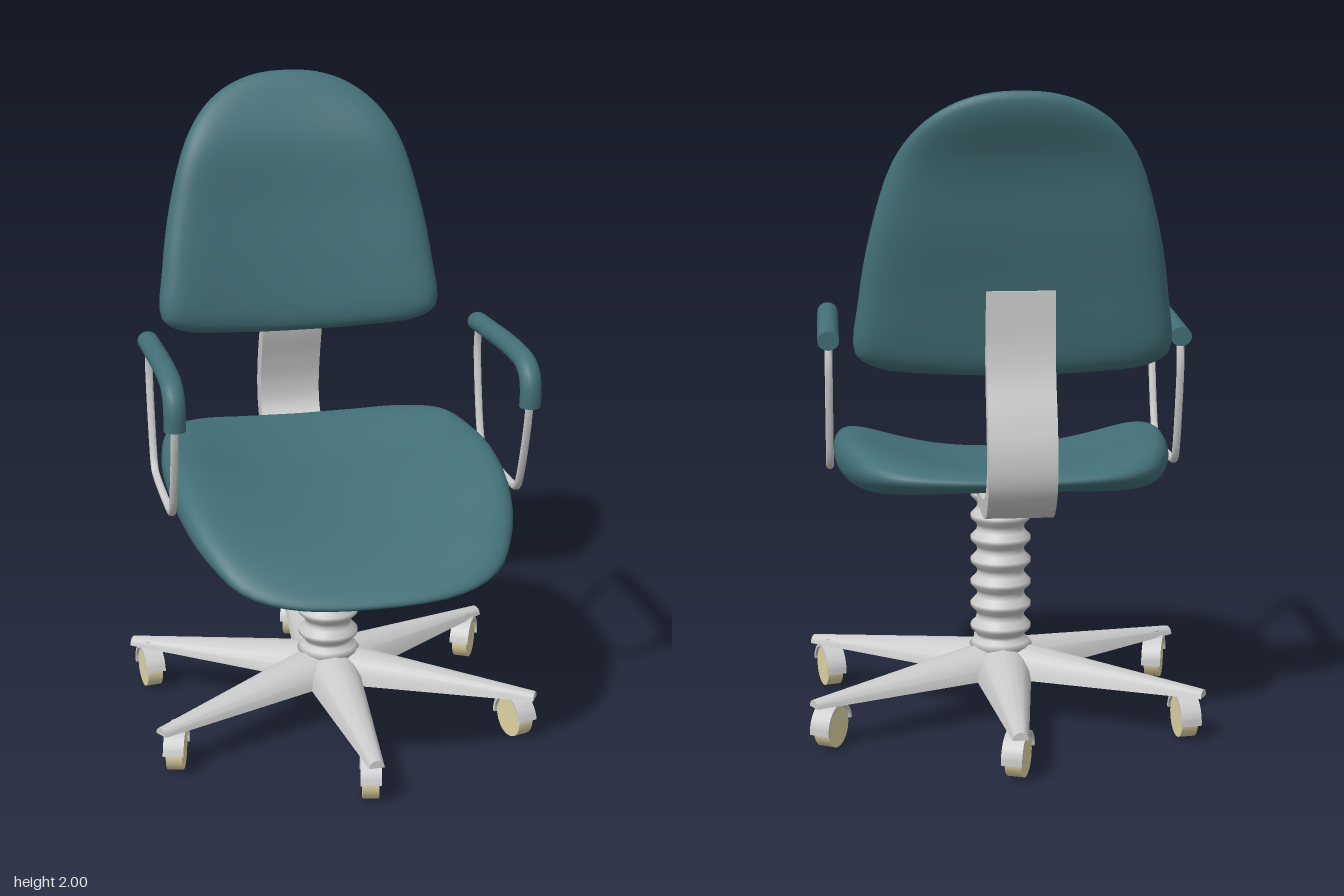
import * as THREE from 'three';
import { toCreasedNormals } from 'three/addons/utils/BufferGeometryUtils.js';

const grey = new THREE.MeshStandardMaterial({ color: 0xcccccc });
const greyThin = new THREE.MeshStandardMaterial({ color: 0xcccccc, side: THREE.DoubleSide });
const teal = new THREE.MeshStandardMaterial({ color: 0x437078 });
const cream = new THREE.MeshStandardMaterial({ color: 0xe2d6a6 });

function add(parent, name, geometry, material) {
  const mesh = new THREE.Mesh(geometry, material);
  mesh.name = name;
  parent.add(mesh);
  return mesh;
}

// Smooth curve through evenly spaced values between lo and hi
function profile(lo, hi, values) {
  const curve = new THREE.SplineCurve(values.map((v, i) => new THREE.Vector2(i, v)));
  return (s) => curve.getPoint(THREE.MathUtils.clamp((s - lo) / (hi - lo), 0, 1)).y;
}

// Pillow with a mirrored outline: half is a list of [a, b] from near to far,
// place(a, b, h) bends it, where h runs from 1 (top) to -1 (underside)
function cushion(half, centre, place) {
  const mirrored = half.slice(1, -1).reverse().map(([a, b]) => [-a, b]);
  const loop = new THREE.CatmullRomCurve3(
    [...half, ...mirrored].map(([a, b]) => new THREE.Vector3(a, b, 0)), true);
  const N = 80, K = 40;
  const rim = loop.getPoints(N).slice(0, N);
  const pos = [], index = [];
  for (let k = 0; k <= K; k++) {
    const t = (Math.PI * k) / K;
    const r = Math.sin(t);
    const h = Math.sign(Math.cos(t)) * Math.sqrt(Math.max(0, 1 - r ** 9));
    for (let i = 0; i < N; i++) {
      pos.push(...place(rim[i].x * r, centre + (rim[i].y - centre) * r, h));
      if (k === K) continue;
      const j = (i + 1) % N;
      const a = k * N + i, b = a + N, c = (k + 1) * N + j, d = k * N + j;
      index.push(a, b, c, a, c, d);
    }
  }
  const g = new THREE.BufferGeometry();
  g.setAttribute('position', new THREE.Float32BufferAttribute(pos, 3));
  g.setIndex(index);
  g.computeVertexNormals();
  return g;
}

// Capped oval bar swept along [z, y] points in the plane x = 0
function sweep(points, rx, ry, steps) {
  const path = new THREE.CatmullRomCurve3(
    points.map(([z, y]) => new THREE.Vector3(0, y, z)), false, 'centripetal');
  const section = new THREE.Shape().absellipse(0, 0, rx, ry, 0, Math.PI * 2);
  const g = new THREE.ExtrudeGeometry(section, { steps, extrudePath: path, curveSegments: 8 });
  return toCreasedNormals(g, 0.9);
}

function createSeat() {
  const mid = profile(-0.5, 0.7, [0.855, 0.825, 0.805, 0.795, 0.772, 0.73, 0.658]);
  const lift = profile(-0.5, 0.7, [0.02, 0.05, 0.055, 0.055, 0.05, 0.03, 0.01]);
  const swell = profile(-0.5, 0.7, [0.03, 0.065, 0.065, 0.065, 0.055, 0.035, 0.01]);
  // Outline as [x, -z]
  const half = [[0, -0.69], [0.25, -0.665], [0.395, -0.59], [0.47, -0.46], [0.51, -0.3], [0.525, -0.05],
    [0.51, 0.15], [0.475, 0.3], [0.42, 0.4], [0.33, 0.465], [0.18, 0.49], [0, 0.495]];
  return cushion(half, -0.1, (x, b, h) => {
    const u = (x / 0.5) ** 2;
    return [x, mid(-b) + lift(-b) * u + (0.035 + swell(-b) * u) * h, -b];
  });
}

function createBackrest() {
  const mid = profile(1.18, 2, [-0.448, -0.48, -0.522, -0.562, -0.65]);
  const half = [[0, 1.172], [0.22, 1.178], [0.4, 1.198], [0.46, 1.24], [0.45, 1.4], [0.415, 1.6],
    [0.352, 1.8], [0.28, 1.9], [0.195, 1.96], [0.1, 1.992], [0, 2]];
  return cushion(half, 1.5, (x, y, h) => {
    const u = (x / 0.45) ** 2;
    return [x, y, mid(y) + 0.02 * u + (0.042 + 0.034 * u) * h];
  });
}

// Flat bent bar from under the seat to the backrest
function createSpine() {
  const path = new THREE.SplineCurve([[-0.16, 0.755], [-0.3, 0.757], [-0.42, 0.768], [-0.52, 0.8],
    [-0.58, 0.87], [-0.59, 0.96], [-0.568, 1.06], [-0.532, 1.17], [-0.52, 1.28], [-0.525, 1.43]]
    .map(([z, y]) => new THREE.Vector2(z, y)));
  const front = [], rear = [];
  for (let i = 0; i <= 40; i++) {
    const t = i / 40, p = path.getPoint(t), d = path.getTangent(t);
    const w = 0.015 + 0.02 * Math.sin(Math.PI * t);
    front.push(new THREE.Vector2(p.x + d.y * w, p.y - d.x * w));
    rear.unshift(new THREE.Vector2(p.x - d.y * w, p.y + d.x * w));
  }
  const g = new THREE.ExtrudeGeometry(new THREE.Shape([...front, ...rear]), { depth: 0.2, bevelEnabled: false });
  g.rotateY(-Math.PI / 2); // profile x becomes z, depth runs towards -x
  g.translate(0.087, 0, 0);
  return toCreasedNormals(g, 0.6);
}

// Gas column with bellows and a flared foot
function createColumn() {
  const pts = [[0, 0.145], [0.06, 0.145], [0.1, 0.225], [0.09, 0.24]];
  for (let i = 0; i < 7; i++) {
    const y = 0.25 + i * 0.072;
    pts.push([0.074, y], [0.078, y + 0.012], [0.096, y + 0.03], [0.096, y + 0.042], [0.078, y + 0.06]);
  }
  pts.push([0.074, 0.775], [0, 0.775]);
  return new THREE.LatheGeometry(pts.map(([r, y]) => new THREE.Vector2(r, y)), 32);
}

// Tapered leg with a rounded top and flat underside, running along +z
function createLeg() {
  const g = new THREE.CylinderGeometry(0.024, 0.1, 0.69, 16);
  g.rotateX(Math.PI / 2);
  const p = g.attributes.position;
  for (let i = 0; i < p.count; i++) p.setY(i, Math.max(0, p.getY(i)));
  g.translate(0, 0.14, 0.345);
  return toCreasedNormals(g, 0.6);
}

function createCaster() {
  const caster = new THREE.Group();
  const wheel = add(caster, 'wheel', new THREE.CylinderGeometry(0.064, 0.064, 0.05, 24), cream);
  wheel.rotation.z = Math.PI / 2;
  wheel.position.y = 0.068;
  // Curved hood over the upper part of the wheel
  const arc = new THREE.Shape();
  arc.absarc(0, 0, 0.077, -0.1, Math.PI * 0.95, false);
  arc.absarc(0, 0, 0.067, Math.PI * 0.95, -0.1, true);
  const hood = new THREE.ExtrudeGeometry(arc, { depth: 0.064, bevelEnabled: false, curveSegments: 14 });
  hood.translate(0, 0, -0.032);
  hood.rotateY(Math.PI / 2);
  add(caster, 'hood', toCreasedNormals(hood, 0.6), greyThin).position.y = 0.066;
  add(caster, 'swivel', new THREE.CylinderGeometry(0.016, 0.016, 0.03, 12), grey).position.y = 0.147;
  return caster;
}

export function createModel() {
  const model = new THREE.Group();
  model.name = 'officeChair';

  add(model, 'seat', createSeat(), teal);
  add(model, 'backrest', createBackrest(), teal);
  add(model, 'spine', createSpine(), grey);
  add(model, 'column', createColumn(), grey);

  // Six-legged star base on casters, each swivelled its own way
  const legGeometry = createLeg();
  [-0.2, 0.3, -0.5, -0.35, 0.14, -0.28].forEach((yaw, i) => {
    const angle = (i * Math.PI) / 3;
    add(model, 'leg' + (i + 1), legGeometry, grey).rotation.y = angle;
    const caster = createCaster();
    caster.name = 'caster' + (i + 1);
    caster.position.set(0.63 * Math.sin(angle), 0, 0.608 * Math.cos(angle));
    caster.rotation.y = yaw;
    model.add(caster);
  });

  // Armrests
  const padGeometry = sweep([[-0.195, 1.24], [-0.05, 1.25], [0.1, 1.26], [0.24, 1.263], [0.33, 1.255],
    [0.375, 1.225], [0.387, 1.18], [0.385, 1.135]], 0.033, 0.03, 36);
  const rodGeometry = sweep([[0.383, 1.16], [0.365, 1.06], [0.3, 0.87], [0.275, 0.84], [0.23, 0.832],
    [-0.06, 0.832], [-0.105, 0.842], [-0.13, 0.88], [-0.18, 1.09], [-0.187, 1.17], [-0.175, 1.235]], 0.012, 0.012, 60);
  for (const side of [1, -1]) {
    const arm = new THREE.Group();
    arm.name = side > 0 ? 'leftArmrest' : 'rightArmrest';
    add(arm, 'armPad', padGeometry, teal);
    add(arm, 'armRod', rodGeometry, grey);
    arm.position.x = side * 0.537;
    model.add(arm);
  }
  return model;
}
